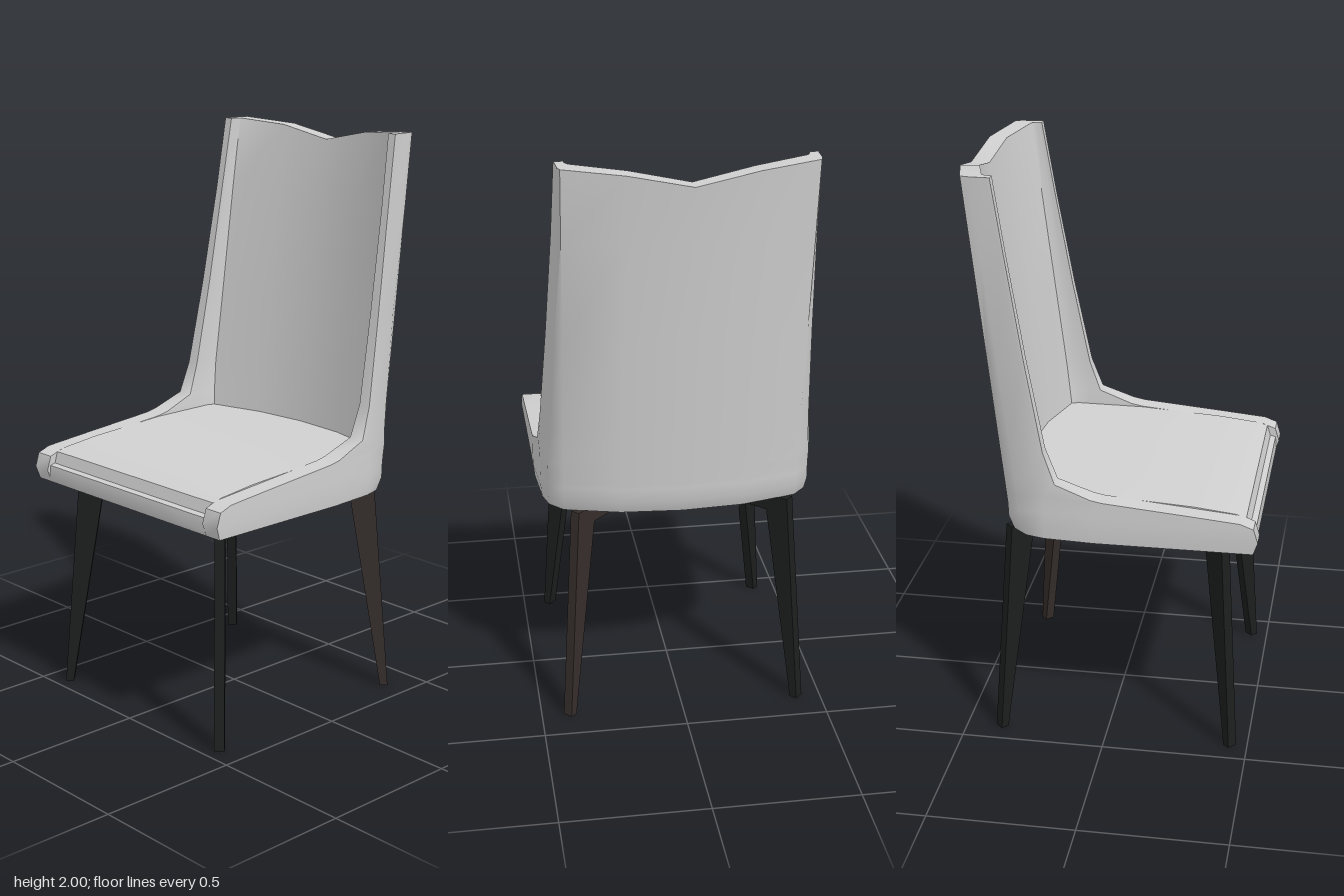
import * as THREE from 'three';
import { toCreasedNormals } from 'three/addons/utils/BufferGeometryUtils.js';

const upholstery = new THREE.MeshStandardMaterial({ color: 0xd0d0d0 });
upholstery.name = 'greyUpholstery';
const black = new THREE.MeshStandardMaterial({ color: 0x1c1e1e });
black.name = 'blackMetal';
const brown = new THREE.MeshStandardMaterial({ color: 0x352d2b });
brown.name = 'darkBrownMetal';

// Skins closed rings; each end cap pairs point i with point n-1-i
function loft(rings, crease) {
  const n = rings[0].length, last = (rings.length - 1) * n, index = [];
  const quad = (a, b, c, d) => index.push(a, b, c, a, c, d);
  for (let k = 0; k < last; k += n) {
    for (let i = 0; i < n; i++) {
      const j = (i + 1) % n;
      quad(k + i, k + j, k + n + j, k + n + i);
    }
  }
  for (let i = 0; i < n / 2 - 1; i++) {
    const a = i, b = i + 1, c = n - 2 - i, d = n - 1 - i;
    quad(a, d, c, b);
    quad(last + a, last + b, last + c, last + d);
  }
  const geo = new THREE.BufferGeometry();
  geo.setAttribute('position', new THREE.Float32BufferAttribute(rings.flat(2), 3));
  geo.setIndex(index);
  return toCreasedNormals(geo.toNonIndexed(), crease);
}

// U-shaped plan of the shell at one height: outer line, then inner line
function shellRing([y, zFront, xOut, xIn], k, rows) {
  const t = Math.max(0, (y - 0.9) / 1.1);
  const top = k === rows.length - 1;
  const zOut = -0.40 - Math.max(0, y - 0.85) * 0.107 + (k === 0 ? 0.02 : 0);
  const zIn = -0.33 - t * 0.13;
  const zB = Math.min(zFront - 0.005, -0.03), zC = Math.min(zFront - 0.01, -0.2);
  const yMid = top ? y - 0.015 : y, yCentre = top ? y - 0.055 : y;
  const outer = [
    [xOut, y, zFront], [xOut, y, zB], [xOut - (zFront > -0.1 ? 0.012 : 0.002), y, zC],
    [xOut - 0.03 + 0.025 * t, y, Math.min(zC - 0.005, zOut + 0.115 - 0.025 * t)],
    [0.40 + 0.01 * t, y, zOut + 0.065], [0.21, yMid, zOut + 0.015], [0, yCentre, zOut],
  ];
  const inner = [
    [xIn, y, zFront], [xIn, y, zB], [xIn, y, zC],
    [xIn, y, Math.min(zC - 0.005, zIn + 0.09)],
    [xIn - 0.01, y, zIn + 0.065], [0.2, yMid, zIn + 0.015], [0, yCentre, zIn],
  ];
  const mirrored = (half) => [...half, ...half.slice(0, -1).reverse().map(([x, py, z]) => [-x, py, z])];
  return [...mirrored(outer), ...mirrored(inner).reverse()]
    .map(([x, py, z]) => [x - 0.012 * t, py, z]);
}

export function createModel() {
  const chair = new THREE.Group();
  chair.name = 'diningChair';
  const add = (name, geo, mat) => {
    const mesh = new THREE.Mesh(geo, mat);
    mesh.name = name;
    chair.add(mesh);
    return mesh;
  };

  // Low arms, wings and backrest in one shell: height, front z, outer x, inner x
  const rows = [
    [0.775, 0.505, 0.475, 0.41], [0.82, 0.52, 0.48, 0.41], [0.868, 0.505, 0.48, 0.41],
    [0.885, 0.46, 0.48, 0.41], [0.90, 0.30, 0.48, 0.41], [0.927, 0, 0.48, 0.41],
    [0.935, -0.04, 0.48, 0.41], [0.98, -0.16, 0.473, 0.415], [1.09, -0.2, 0.465, 0.42],
    [1.4, -0.26, 0.447, 0.41], [1.75, -0.32, 0.43, 0.40], [2.0, -0.36, 0.422, 0.39],
  ];
  add('shellBackrest', loft(rows.map(shellRing), 0.9), upholstery);

  // Seat cushion with a front lip; its rear follows the curve of the backrest
  const stations = [[-0.412, -0.275], [-0.2, -0.33], [0, -0.345], [0.2, -0.33], [0.412, -0.275]];
  const seatRings = stations.map(([x, zBack]) => {
    const upper = [
      [zBack, 0.926], [0, 0.924], [0.3, 0.905], [0.44, 0.889],
      [0.475, 0.88], [0.487, 0.84], [0.507, 0.835], [0.511, 0.79],
    ];
    const lower = [0.505, 0.495, 0.485, 0.475, 0.44, 0.3, 0, zBack].map((z) => [z, 0.775]);
    return [...upper, ...lower].map(([z, y]) => [x, y, z]);
  });
  add('seatCushion', loft(seatRings, 0.5), upholstery);

  // Crossed base: four diagonal arms, each a beam with a tapering leg
  const depth = 0.035;
  const plate = (points) => new THREE.ExtrudeGeometry(
    new THREE.Shape(points.map(([r, y]) => new THREE.Vector2(r, y))),
    { depth, bevelEnabled: false },
  ).translate(0, 0, -depth / 2);
  const leg = (start) => plate([
    [start, 0.713], [0.442, 0.713], [0.562, 0], [0.59, 0], [0.525, 0.774], [start, 0.774],
  ]);
  const place = (mesh, turn) => {
    mesh.position.set(-0.007, 0, 0.032);
    mesh.rotation.y = turn;
  };
  const names = ['rearLeftLeg', 'rearRightLeg', 'frontRightLeg', 'frontLeftLeg'];
  names.forEach((name, i) => {
    const turn = Math.PI / 4 + i * Math.PI / 2;
    place(add(name, leg(i ? 0 : 0.2), i ? black : brown), turn);
  });
  const stub = plate([[0, 0.713], [0.2, 0.713], [0.2, 0.774], [0, 0.774]]);
  place(add('rearLeftBeam', stub, black), Math.PI / 4);

  return chair;
}
